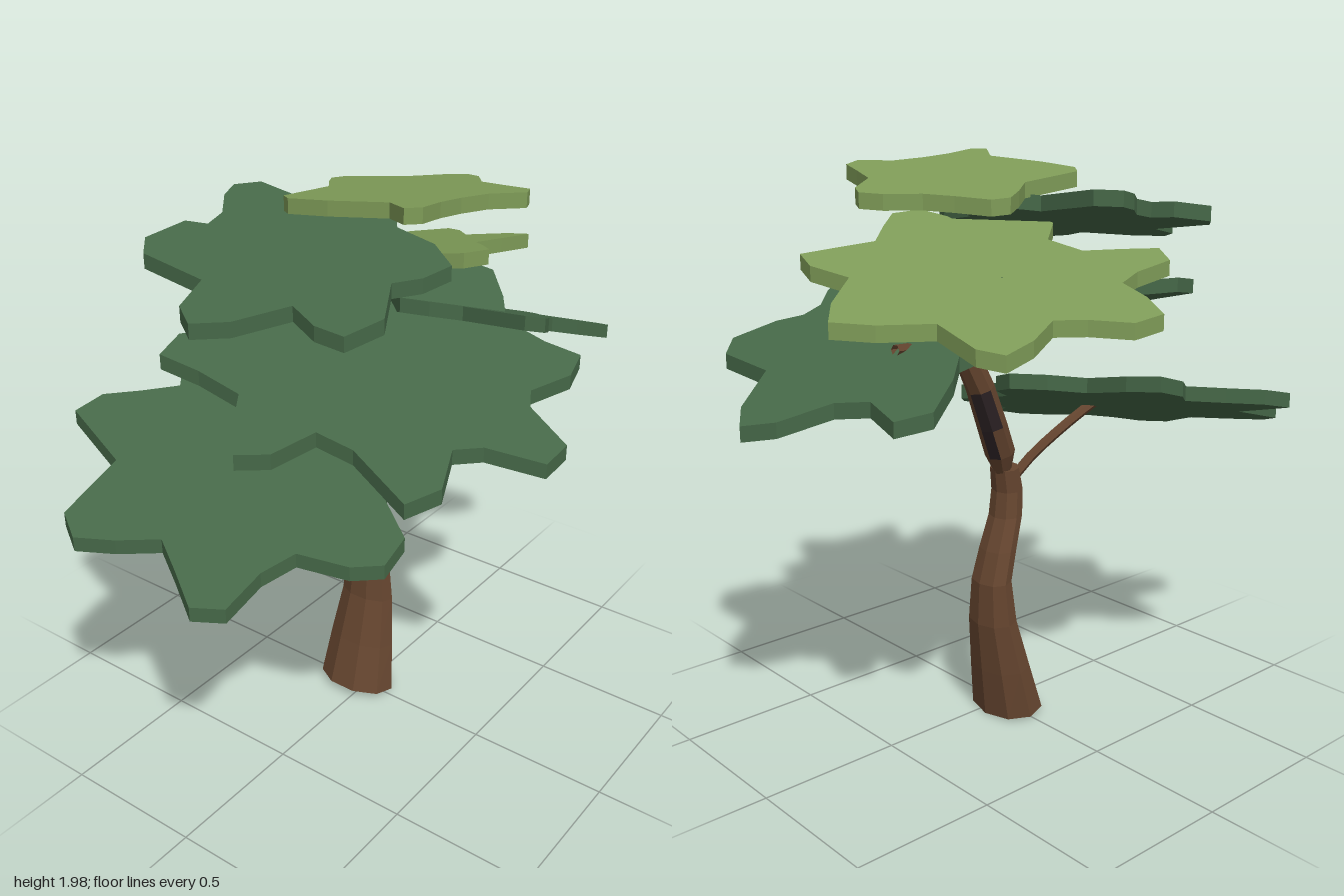
import * as THREE from 'three';

const material = (name, color, extra = {}) => {
  const m = new THREE.MeshStandardMaterial({ color, flatShading: true, ...extra });
  m.name = name;
  return m;
};

// Lobed foliage plate: outline in [x, z], top surface y = height + slopeX * x + slopeZ * z
function foliagePad(name, mat, outline, height, slopeX, slopeZ, thickness = 0.05) {
  const shape = new THREE.Shape(outline.map(([x, z]) => new THREE.Vector2(x, -z)));
  const geo = new THREE.ExtrudeGeometry(shape, { depth: thickness, bevelEnabled: false });
  geo.rotateX(-Math.PI / 2);
  const p = geo.attributes.position;
  for (let i = 0; i < p.count; i++) {
    const x = p.getX(i), z = p.getZ(i);
    p.setY(i, p.getY(i) - thickness + height + slopeX * x + slopeZ * z);
  }
  geo.computeVertexNormals();
  geo.clearGroups();
  const mesh = new THREE.Mesh(geo, mat);
  mesh.name = name;
  return mesh;
}

// Limb lofted through rings [x, y, z, radiusX, radiusZ]; tilt drops each ring towards +x.
// isHollow(ring, side) selects faces for the second material; the base cap uses it too.
function limb(name, rings, sides, mats, tilt = 0, isHollow = () => false) {
  const pos = [], bark = [], hollow = [];
  for (const [x, y, z, rx, rz] of rings) {
    for (let s = 0; s < sides; s++) {
      const a = (s / sides) * Math.PI * 2;
      pos.push(x + Math.cos(a) * rx, y - Math.cos(a) * rx * tilt, z + Math.sin(a) * rz);
    }
  }
  const last = rings.length - 1;
  for (let r = 0; r < last; r++) {
    for (let s = 0; s < sides; s++) {
      const a = r * sides + s, b = r * sides + (s + 1) % sides;
      (isHollow(r, s) ? hollow : bark).push(a, a + sides, b, b, a + sides, b + sides);
    }
  }
  for (let s = 1; s < sides - 1; s++) {
    hollow.push(0, s, s + 1);
    bark.push(last * sides, last * sides + s + 1, last * sides + s);
  }
  const geo = new THREE.BufferGeometry();
  geo.setAttribute('position', new THREE.Float32BufferAttribute(pos, 3));
  geo.setIndex([...bark, ...hollow]);
  geo.addGroup(0, bark.length, 0);
  geo.addGroup(bark.length, hollow.length, 1);
  geo.computeVertexNormals();
  const mesh = new THREE.Mesh(geo, mats);
  mesh.name = name;
  return mesh;
}

// Thin branch following a curve
function branch(name, mat, points, radius) {
  const curve = new THREE.CatmullRomCurve3(points.map(p => new THREE.Vector3(...p)));
  const mesh = new THREE.Mesh(new THREE.TubeGeometry(curve, 8, radius, 6), mat);
  mesh.name = name;
  return mesh;
}

export function createModel() {
  const tree = new THREE.Group();
  tree.name = 'tree';
  const darkLeaf = material('dark green leaves', 0x466848);
  const lightLeaf = material('light green leaves', 0x7f9c58);
  const bark = material('brown bark', 0x65452f, { side: THREE.DoubleSide });
  const heart = material('dark heartwood', 0x2e2426, { side: THREE.DoubleSide });

  // Curved lower trunk
  tree.add(limb('lowerTrunk', [
    [0, 0.025, -0.04, 0.105, 0.15],
    [0.04, 0.2, -0.045, 0.085, 0.13],
    [0.075, 0.38, -0.045, 0.067, 0.105],
    [0.08, 0.53, -0.045, 0.055, 0.088],
    [0.045, 0.64, -0.04, 0.053, 0.08],
    [0, 0.75, -0.03, 0.05, 0.07],
    [-0.012, 0.84, -0.025, 0.047, 0.065],
    [0, 0.92, -0.025, 0.043, 0.06],
  ], 9, [bark, heart], 0.15));

  // Leaning upper trunk with a dark hollow along its outer side
  tree.add(limb('upperTrunk', [
    [0.01, 0.9, -0.03, 0.024, 0.03],
    [0.03, 0.98, -0.035, 0.045, 0.06],
    [0.08, 1.09, -0.05, 0.045, 0.058],
    [0.14, 1.23, -0.06, 0.043, 0.053],
    [0.19, 1.33, -0.06, 0.042, 0.045],
    [0.25, 1.41, -0.055, 0.036, 0.036],
  ], 8, [bark, heart], 0.4, (r, s) => r > 0 && r < 3 && (s === 7 || (s === 6 && r === 2))));

  // Branches
  tree.add(branch('lowBranch', bark,
    [[-0.01, 0.85, -0.03], [-0.1, 0.94, -0.05], [-0.25, 1.05, -0.09], [-0.43, 1.13, -0.1]], 0.018));
  tree.add(branch('rightBranch', bark,
    [[0.23, 1.38, -0.06], [0.33, 1.4, -0.07], [0.52, 1.415, -0.1]], 0.018));
  tree.add(branch('topBranch', bark,
    [[0.24, 1.37, -0.055], [0.245, 1.5, -0.05], [0.21, 1.68, -0.05]], 0.024));

  // Foliage plates, lowest to highest
  tree.add(foliagePad('lowLeftFoliage', darkLeaf, [
    [-0.63, -0.75], [-0.52, -0.73], [-0.43, -0.64], [-0.33, -0.55], [-0.22, -0.63], [-0.09, -0.65],
    [-0.04, -0.55], [-0.02, -0.4], [0.1, -0.34], [0.18, -0.25], [0.15, -0.15], [0.02, -0.06],
    [0, 0.08], [0.02, 0.18], [-0.05, 0.25], [-0.2, 0.24], [-0.3, 0.3], [-0.38, 0.43], [-0.5, 0.44],
    [-0.57, 0.36], [-0.63, 0.2], [-0.75, 0.16], [-0.91, 0.16], [-0.97, 0.07], [-0.9, -0.05],
    [-0.84, -0.16], [-0.93, -0.27], [-1, -0.38], [-0.95, -0.47], [-0.7, -0.49]],
    1.214, 0.265, -0.22));

  tree.add(foliagePad('rightFoliage', darkLeaf, [
    [0.17, 0.5], [0.25, 0.53], [0.37, 0.48], [0.44, 0.42], [0.51, 0.42], [0.58, 0.48], [0.72, 0.53],
    [0.79, 0.46], [0.78, 0.23], [0.94, 0.12], [1, 0.03], [0.93, -0.06], [0.78, -0.14], [0.72, -0.24],
    [0.75, -0.39], [0.66, -0.46], [0.52, -0.38], [0.43, -0.3], [0.3, -0.34], [0.19, -0.28],
    [0.22, -0.15], [0.16, -0.03], [0.08, 0.08], [0.12, 0.17], [0.2, 0.25]],
    1.606, -0.376, 0.1));

  tree.add(foliagePad('frontLeftFoliage', darkLeaf, [
    [-0.17, 0.79], [-0.05, 0.79], [0.02, 0.62], [0.09, 0.58], [0.26, 0.63], [0.38, 0.6], [0.35, 0.48],
    [0.35, 0.33], [0.46, 0.25], [0.57, 0.14], [0.54, 0.03], [0.36, -0.03], [0.3, -0.15], [0.26, -0.3],
    [0.15, -0.31], [0.03, -0.24], [-0.08, -0.34], [-0.2, -0.37], [-0.28, -0.26], [-0.38, -0.23],
    [-0.53, -0.33], [-0.65, -0.3], [-0.62, -0.17], [-0.61, -0.02], [-0.73, 0.06], [-0.82, 0.14],
    [-0.74, 0.21], [-0.57, 0.24], [-0.55, 0.36], [-0.62, 0.59], [-0.49, 0.63], [-0.33, 0.56], [-0.25, 0.62]],
    1.53, 0.105, -0.266));

  tree.add(foliagePad('largeLightFoliage', lightLeaf, [
    [0.07, -0.79], [0.18, -0.78], [0.27, -0.68], [0.35, -0.62], [0.48, -0.68], [0.6, -0.7],
    [0.64, -0.62], [0.62, -0.43], [0.76, -0.33], [0.85, -0.23], [0.77, -0.13], [0.62, -0.01],
    [0.66, 0.14], [0.63, 0.24], [0.5, 0.21], [0.38, 0.18], [0.28, 0.27], [0.18, 0.35], [0.08, 0.32],
    [0.04, 0.17], [-0.06, 0.11], [-0.18, 0.04], [-0.19, -0.06], [-0.07, -0.16], [-0.09, -0.3],
    [-0.2, -0.37], [-0.3, -0.44], [-0.25, -0.53], [-0.1, -0.53], [0, -0.56], [0.02, -0.68]],
    1.735, -0.151, 0.2));

  tree.add(foliagePad('upperLeftFoliage', darkLeaf, [
    [-0.54, -0.45], [-0.47, -0.51], [-0.32, -0.48], [-0.29, -0.41], [-0.21, -0.42], [-0.12, -0.49],
    [-0.05, -0.51], [0.02, -0.45], [0.02, -0.22], [0.13, -0.19], [0.22, -0.1], [0.19, -0.02],
    [0.06, 0.08], [0.05, 0.23], [-0.02, 0.34], [-0.13, 0.31], [-0.21, 0.25], [-0.37, 0.34],
    [-0.51, 0.3], [-0.52, 0.2], [-0.48, 0.09], [-0.65, 0], [-0.73, -0.09], [-0.68, -0.17], [-0.54, -0.21]],
    1.83, 0.17, -0.14));

  tree.add(foliagePad('topLightFoliage', lightLeaf, [
    [-0.19, -0.16], [-0.15, -0.21], [0.08, -0.21], [0.17, -0.28], [0.25, -0.33], [0.31, -0.31],
    [0.36, -0.2], [0.41, -0.11], [0.5, -0.03], [0.54, 0.04], [0.51, 0.1], [0.4, 0.18], [0.36, 0.3],
    [0.33, 0.4], [0.26, 0.43], [0.18, 0.34], [0.07, 0.31], [-0.03, 0.3], [-0.14, 0.31], [-0.18, 0.27],
    [-0.11, 0.17], [-0.17, -0.02]],
    1.938, -0.104, 0.105));

  return tree;
}
